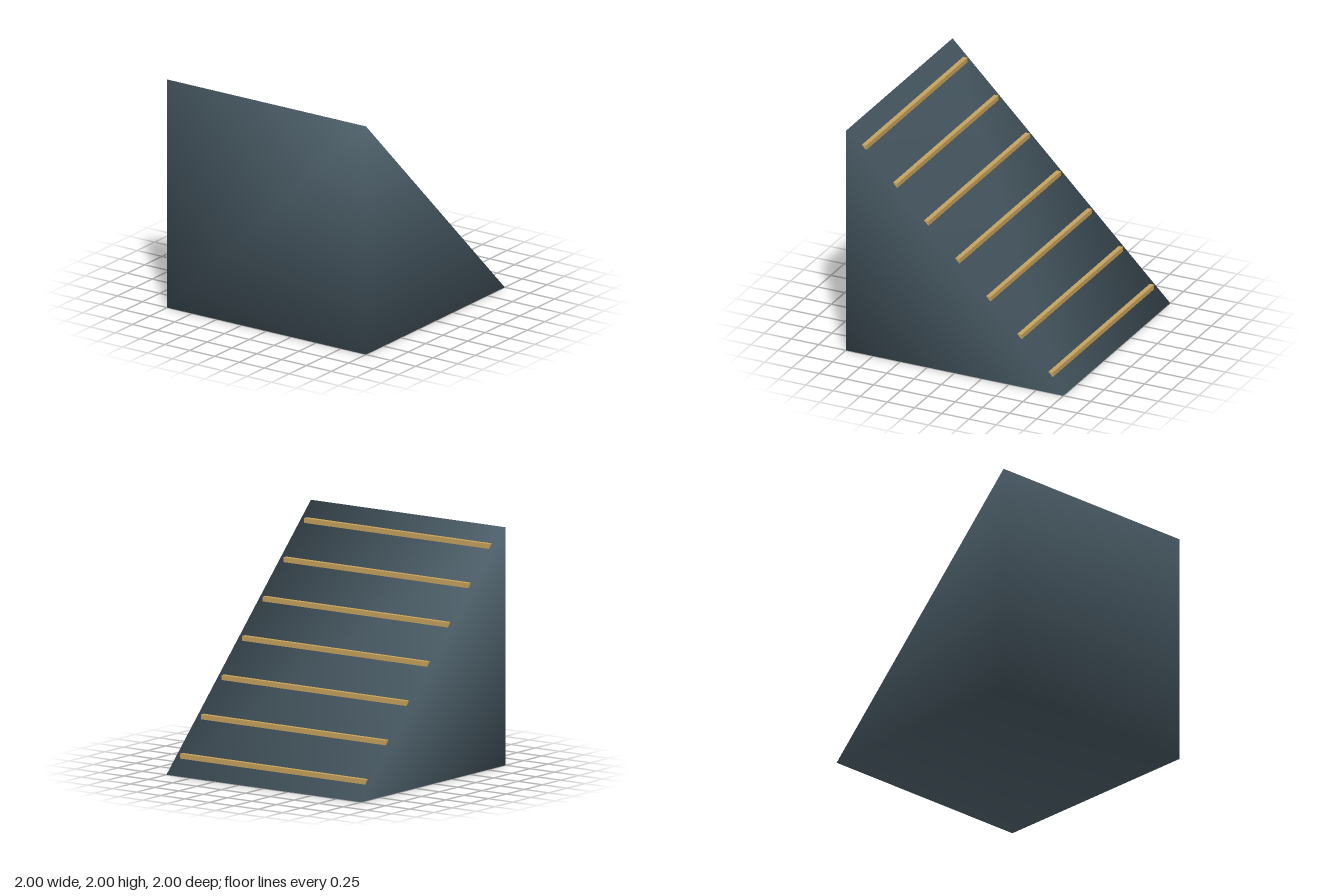
import * as THREE from 'three';

export function createModel() {
  const model = new THREE.Group();
  const rampMaterial = new THREE.MeshStandardMaterial({ color: 0x4a5c66 });
  const cleatMaterial = new THREE.MeshStandardMaterial({ color: 0xc9a55c });

  // Wedge: tall face at the front, slope falling to the back edge; corners shared for smooth normals
  const wedge = new THREE.BufferGeometry();
  wedge.setAttribute('position', new THREE.Float32BufferAttribute([
    -1, 0, 1, 1, 0, 1, 1, 2, 1, -1, 2, 1, // front corners
    -1, 0, -1, 1, 0, -1, // back edge
  ], 3));
  wedge.setIndex([
    0, 1, 2, 0, 2, 3, // front
    0, 4, 5, 0, 5, 1, // bottom
    3, 2, 5, 3, 5, 4, // slope
    0, 3, 4, // right side
    1, 5, 2, // left side
  ]);
  wedge.computeVertexNormals();
  const ramp = new THREE.Mesh(wedge, rampMaterial);
  ramp.name = 'ramp';
  model.add(ramp);

  // Evenly spaced cleats half sunk into the slope
  const cleats = new THREE.Group();
  cleats.name = 'cleats';
  const count = 7;
  const bar = new THREE.BoxGeometry(1.9, 0.042, 0.04);
  for (let i = 0; i < count; i++) {
    const z = -1 + (2 * (i + 0.5)) / count;
    const cleat = new THREE.Mesh(bar, cleatMaterial);
    cleat.name = `cleat${i + 1}`;
    cleat.position.set(0, z + 1, z);
    cleats.add(cleat);
  }
  model.add(cleats);

  return model;
}
